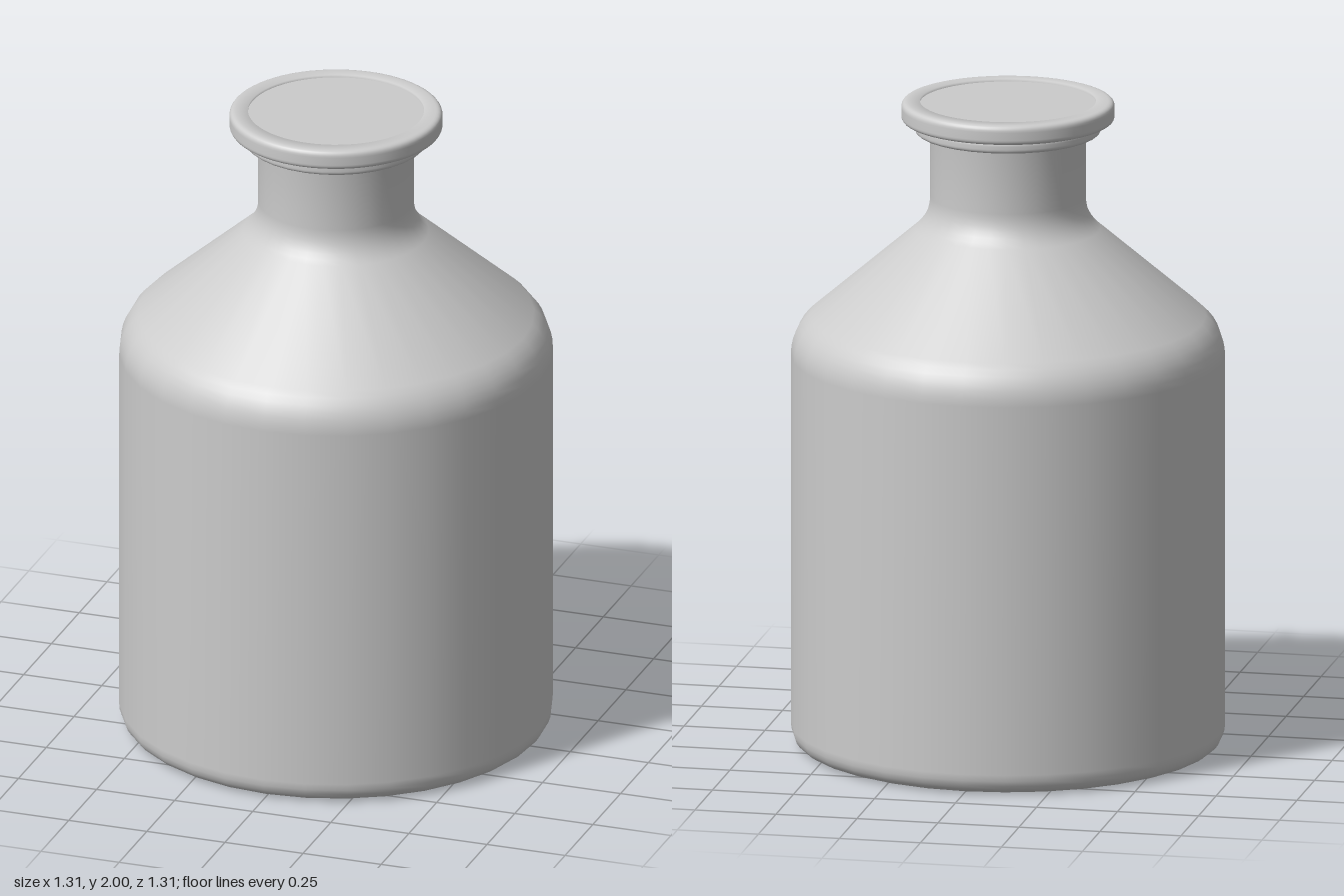
import * as THREE from 'three';

const material = new THREE.MeshStandardMaterial({ color: 0xcccccc });

// Profile of [radius, height] or [radius, height, fillet size] corners, spun around y.
function turned(name, corners, segments) {
  const at = (c) => new THREE.Vector2(c[0], c[1]);
  const points = [];
  corners.forEach((c, i) => {
    const p = at(c);
    if (!c[2]) return points.push(p);
    const toward = (q) => p.clone().add(at(q).sub(p).setLength(c[2]));
    const curve = new THREE.QuadraticBezierCurve(toward(corners[i - 1]), p, toward(corners[i + 1]));
    points.push(...curve.getPoints(6));
  });
  const mesh = new THREE.Mesh(new THREE.LatheGeometry(points, segments), material);
  mesh.name = name;
  return mesh;
}

export function createModel() {
  const model = new THREE.Group();
  model.name = 'bottle';

  // Glass: flat base, straight wall, sloped shoulder, neck and finish under the cap
  model.add(turned('bottleBody', [
    [0, 0], [0.585, 0],
    [0.655, 0, 0.065],
    [0.655, 1.285, 0.075],
    [0.235, 1.645, 0.06],
    [0.235, 1.895], [0.25, 1.9],
    [0.282, 1.905, 0.012],
    [0.282, 1.94, 0.014],
    [0.24, 1.942], [0.24, 1.96],
  ], 32));

  // Rounded crimp ring around the stopper
  model.add(turned('capRing', [
    [0.23, 1.94], [0.3, 1.94],
    [0.322, 1.94, 0.016],
    [0.322, 2, 0.02],
    [0.266, 2], [0.266, 1.985],
  ], 64));

  // Stopper face, set just below the ring's top
  const stopper = new THREE.Mesh(new THREE.CylinderGeometry(0.266, 0.266, 0.04, 64), material);
  stopper.name = 'stopper';
  stopper.position.y = 1.972;
  model.add(stopper);

  return model;
}
